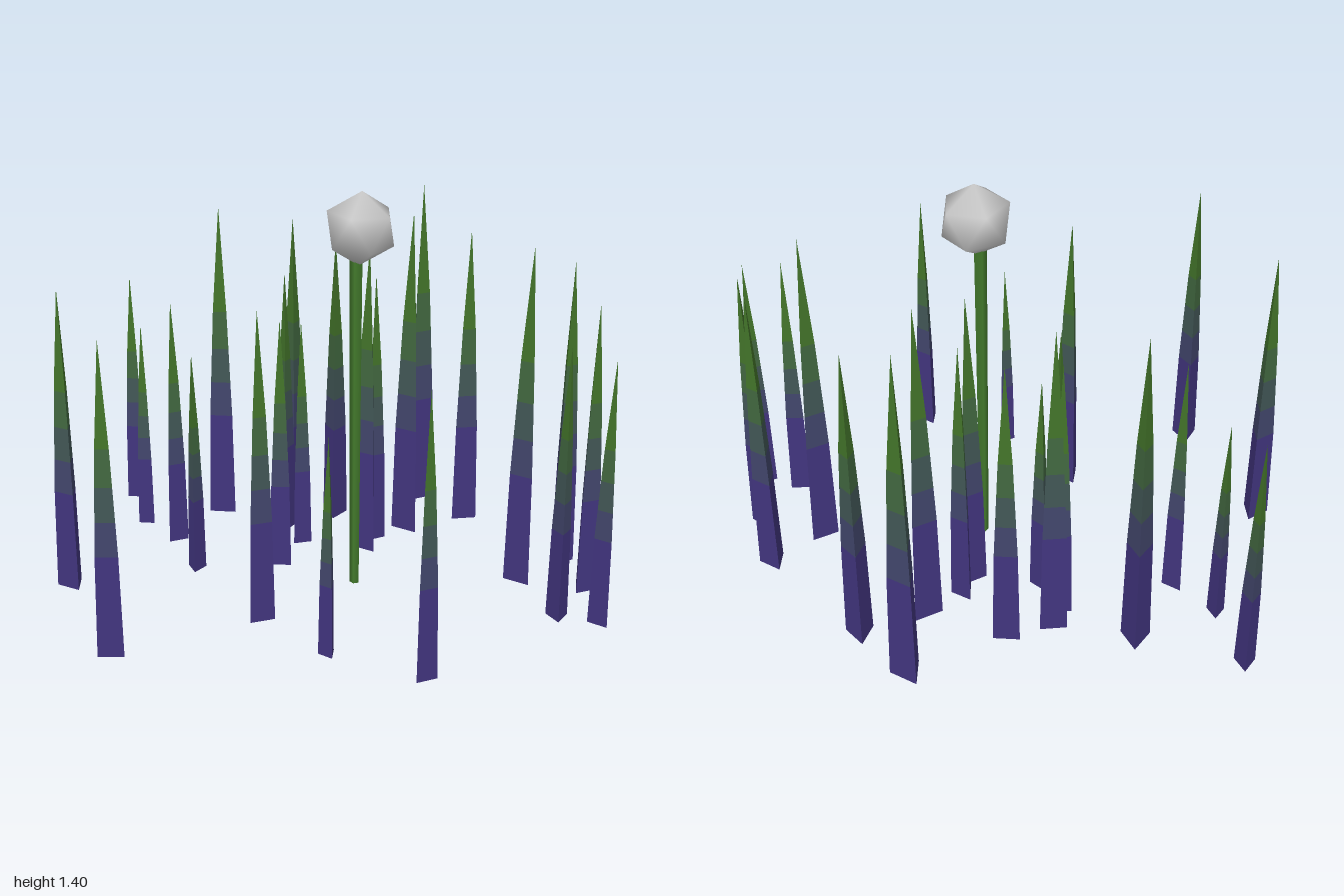
import * as THREE from 'three';
import { mergeVertices } from 'three/addons/utils/BufferGeometryUtils.js';

// Each blade: x, z, radius, tip height, heading of one corner in degrees
const BLADES = [
  [0.17, -0.975, 0.04, 0.9, 90],
  [0.01, -0.78, 0.034, 0.79, 90],
  [-0.535, -0.64, 0.051, 1.085, -8],
  [-0.035, -0.593, 0.042, 0.925, 180],
  [0.27, -0.62, 0.056, 1.2, 90],
  [-0.18, -0.376, 0.036, 0.815, -90],
  [0.286, -0.333, 0.043, 1.0, -98],
  [0.363, -0.354, 0.053, 1.18, 20],
  [0.49, -0.256, 0.052, 1.085, -90],
  [-0.806, -0.2, 0.05, 1.075, 84],
  [0.222, -0.212, 0.038, 0.86, 188],
  [0.035, -0.162, 0.043, 0.925, 87],
  [0.324, 0.008, 0.053, 1.15, -4],
  [0.406, -0.02, 0.044, 1.02, 176],
  [0.817, -0.094, 0.06, 1.25, 177],
  [0.554, 0.035, 0.059, 1.22, -3],
  [-0.335, 0.035, 0.05, 1.09, 184],
  [0.762, 0.148, 0.053, 1.13, -45],
  [-0.398, 0.36, 0.032, 0.76, 0],
  [-0.337, 0.686, 0.042, 0.97, -60],
  [0.43, 0.587, 0.056, 1.22, -3],
  [0.65, 0.625, 0.05, 1.12, 178],
  [0.263, 0.828, 0.042, 0.97, -95],
  [0.497, 0.802, 0.046, 1.04, 182],
  [0.312, 0.962, 0.042, 0.94, 0],
];

// Bands of a unit blade: start, end, radius at each, colour from purple to green
const BANDS = [
  ['bladeBase', 0, 0.33, 1, 0.86, 0x42357f],
  ['bladeLowerMiddle', 0.33, 0.44, 0.86, 0.75, 0x42466c],
  ['bladeMiddle', 0.44, 0.55, 0.75, 0.64, 0x425756],
  ['bladeUpperMiddle', 0.55, 0.67, 0.64, 0.52, 0x426840],
  ['bladeTip', 0.67, 1, 0.52, 0, 0x43742a],
];

// Smooth twenty-sided ball standing on one corner
function ballGeometry(radius) {
  const g = new THREE.IcosahedronGeometry(radius, 0);
  g.rotateX(-Math.atan((1 + Math.sqrt(5)) / 2));
  g.deleteAttribute('normal');
  g.deleteAttribute('uv');
  const smooth = mergeVertices(g, 1e-4);
  smooth.computeVertexNormals();
  return smooth;
}

export function createModel() {
  const model = new THREE.Group();
  model.name = 'grassPatchWithBud';

  // Three-sided blades sharing one set of bands
  const bands = BANDS.map(([name, y0, y1, r0, r1, color], i) => {
    const geometry = new THREE.CylinderGeometry(r1, r0, y1 - y0, 3, 1, i > 0, Math.PI / 2);
    geometry.translate(0, (y0 + y1) / 2, 0);
    const material = new THREE.MeshStandardMaterial({ color, flatShading: true });
    return { name, geometry, material };
  });
  const baseY = 0.01;
  for (const [x, z, radius, tip, heading] of BLADES) {
    const blade = new THREE.Group();
    blade.name = 'grassBlade';
    for (const { name, geometry, material } of bands) {
      const mesh = new THREE.Mesh(geometry, material);
      mesh.name = name;
      blade.add(mesh);
    }
    blade.position.set(x, baseY, z);
    blade.rotation.y = -THREE.MathUtils.degToRad(heading);
    blade.scale.set(radius, tip - baseY, radius);
    model.add(blade);
  }

  // Slightly leaning stem
  const foot = new THREE.Vector3(0.084, 0, 0.125);
  const head = new THREE.Vector3(0.09, 1.2, 0.116);
  const axis = head.clone().sub(foot);
  const stem = new THREE.Mesh(
    new THREE.CylinderGeometry(0.023, 0.017, axis.length(), 5),
    new THREE.MeshStandardMaterial({ color: 0x437a2c })
  );
  stem.name = 'stem';
  stem.position.copy(foot).add(head).multiplyScalar(0.5);
  stem.quaternion.setFromUnitVectors(new THREE.Vector3(0, 1, 0), axis.normalize());
  model.add(stem);

  // Bud on top of the stem
  const bud = new THREE.Mesh(
    ballGeometry(0.125),
    new THREE.MeshStandardMaterial({ color: 0xcccccc })
  );
  bud.name = 'bud';
  bud.position.set(0.09, 1.275, 0.13);
  bud.rotation.x = 0.04;
  model.add(bud);

  return model;
}
